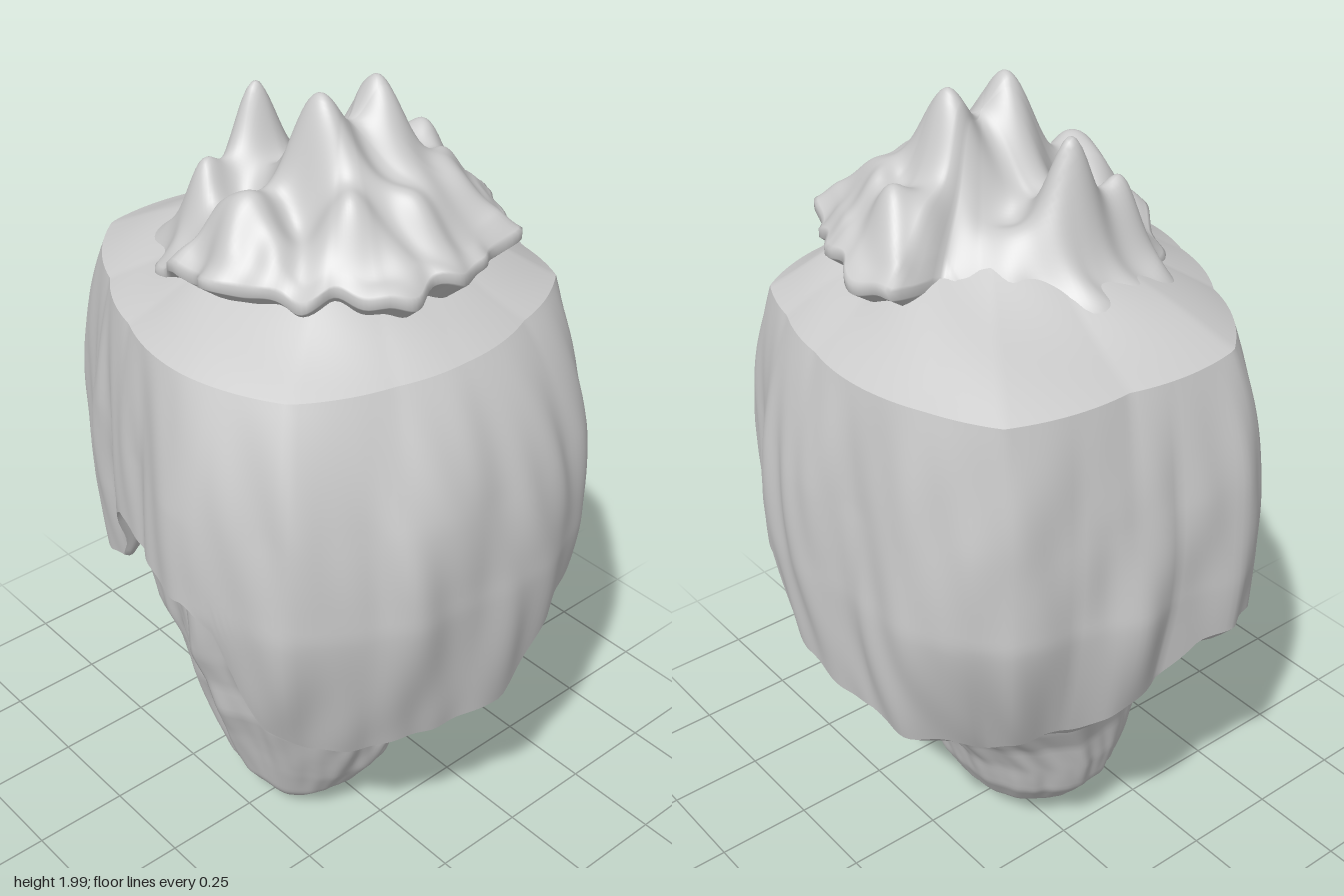
import * as THREE from 'three';

const RIM_Y = 1.52;
const RAD = Math.PI / 180;

// Periodic interpolation through [degrees, value] pairs (0 = front, 90 = +x)
function around(pairs) {
  const p = pairs.slice().sort((a, b) => a[0] - b[0]);
  return (theta) => {
    const d = (theta / RAD + 720) % 360;
    let k = p.findIndex((q) => q[0] > d);
    if (k < 0) k = p.length;
    const a = k > 0 ? p[k - 1] : [p[p.length - 1][0] - 360, p[p.length - 1][1]];
    const b = k < p.length ? p[k] : [p[0][0] + 360, p[0][1]];
    return a[1] + (b[1] - a[1]) * (d - a[0]) / (b[0] - a[0]);
  };
}

// Plan outline of [x, z] points turned into radius by angle
const outline = (pts, cx = 0) => around(pts.map(([x, z]) =>
  [(Math.atan2(x - cx, z) / RAD + 360) % 360, Math.hypot(x - cx, z)]));

// Values by height, rows start with the height
function byHeight(rows, y) {
  let k = rows.findIndex((r) => r[0] >= y);
  if (k < 0) k = rows.length - 1;
  if (k === 0) return rows[0];
  const a = rows[k - 1], b = rows[k];
  const t = Math.min(1, (y - a[0]) / (b[0] - a[0]));
  return a.map((v, i) => v + (b[i] - v) * t);
}

// Closed ring surface: v runs so that the outside faces out
function loft(name, cols, rows, fn) {
  const pos = [], idx = [];
  for (let j = 0; j <= rows; j++) {
    for (let i = 0; i < cols; i++) pos.push(...fn(i / cols * Math.PI * 2, j / rows));
  }
  for (let j = 0; j < rows; j++) {
    for (let i = 0; i < cols; i++) {
      const n = (i + 1) % cols, a = j * cols + i, b = j * cols + n;
      idx.push(a, b, a + cols, b, b + cols, a + cols);
    }
  }
  const g = new THREE.BufferGeometry();
  g.setAttribute('position', new THREE.Float32BufferAttribute(pos, 3));
  g.setIndex(idx);
  g.computeVertexNormals();
  const mesh = new THREE.Mesh(g, new THREE.MeshStandardMaterial({ color: 0xcccccc, side: THREE.DoubleSide }));
  mesh.name = name;
  return mesh;
}

// Mostly vertical, wandering ridges of weathered stone
const ridges = (t, y) => 0.5 * Math.sin(7 * t + 1.5 * Math.sin(3 * y)) + 0.4 * Math.sin(13 * t + 1.3 - 3 * y)
  + 0.35 * Math.sin(19 * t + 3 * Math.sin(4 * y + t)) * Math.sin(5 * y + 2 * t)
  + 0.25 * Math.sin(31 * t + 5 * y) * Math.sin(7 * y + 3 * t);
const bell = (d, w) => Math.exp(-d * d / (2 * w * w));
const polar = (r, t, y) => [r * Math.sin(t), y, r * Math.cos(t)];

const rim = outline([[0.15, 0.5], [0.38, 0.41], [0.47, 0.2], [0.495, 0.02], [0.45, -0.2], [0.35, -0.41],
  [0.2, -0.46], [0.02, -0.505], [-0.33, -0.47], [-0.48, -0.39], [-0.53, -0.1], [-0.535, 0.2], [-0.3, 0.37], [-0.1, 0.46]]);
const belly = outline([[0, 0.53], [0.25, 0.575], [0.45, 0.48], [0.55, 0.31], [0.63, 0.05], [0.61, -0.2],
  [0.51, -0.38], [0.3, -0.5], [0.08, -0.575], [-0.15, -0.555], [-0.4, -0.49], [-0.52, -0.39], [-0.56, -0.25],
  [-0.6, -0.15], [-0.595, 0], [-0.635, 0.18], [-0.59, 0.28], [-0.4, 0.38], [-0.25, 0.44]]);

// Ragged lower edge of the outer shell, with an arch in front and one behind
const hem = around([[0, 1.0], [20, 1.0], [27, 0.93], [31, 0.76], [36, 0.64], [46, 0.56], [60, 0.56], [80, 0.58],
  [97, 0.6], [106, 0.76], [112, 0.82], [128, 0.86], [139, 0.9], [159, 0.91], [163, 0.78], [172, 0.7],
  [190, 0.64], [225, 0.57], [250, 0.64], [268, 0.72], [278, 0.82], [290, 0.84], [305, 0.79], [320, 0.74],
  [327, 0.77], [333, 0.88], [338, 0.97], [345, 1.01]]);
const hemY = (t) => hem(t) + 0.007 * Math.sin(17 * t);

// Share by which the shell draws in towards its lowest edge
const taper = around([[0, 0.18], [45, 0.18], [70, 0.13], [95, 0.1], [185, 0.08], [205, 0.13], [225, 0.24],
  [255, 0.18], [285, 0.06], [320, 0.08]]);

function shellRadius(t, y) {
  const up = Math.max(0, (y - 1.05) / (RIM_Y - 1.05)), down = Math.max(0, (0.98 - y) / 0.42);
  const r = rim(t) + (belly(t) - rim(t)) * (1 - Math.pow(up, 2.2));
  const fade = Math.min(1, (RIM_Y - y) / 0.3);
  return r * (1 - taper(t) * Math.pow(down, 1.4)) + 0.014 * fade * ridges(t, y);
}

// Core sections: height, centre x, centre z, half width, half depth
const CORE = [[0.05, -0.02, 0.07, 0, 0], [0.065, -0.02, 0.06, 0.15, 0.14], [0.11, -0.02, 0.05, 0.21, 0.18],
  [0.2, -0.025, 0.04, 0.275, 0.22], [0.3, -0.02, 0.04, 0.31, 0.25], [0.4, -0.01, 0.025, 0.335, 0.3],
  [0.5, -0.02, -0.01, 0.36, 0.355], [0.6, -0.025, -0.01, 0.395, 0.39], [0.8, -0.01, 0, 0.43, 0.41], [1.2, 0, 0, 0.46, 0.43]];
const FEET = [[0.1, 0.19, 0.03], [-0.14, 0.16, 0.03], [-0.015, 0.03, 0.05]];
function corePoint(t, y) {
  const [, cx, cz, rx, rz] = byHeight(CORE, y);
  const d = t / RAD, grow = Math.min(1, y / 0.25);
  const cuts = -0.1 * bell(d - 141, 4) - 0.05 * bell(d - 344, 5) - 0.05 * bell(d - 14, 5)
    + 0.04 * bell(d - 2, 7) + 0.03 * bell(d - 329, 6) + 0.03 * bell(d - 128, 5) + 0.03 * bell(d - 156, 6)
    + 0.04 * bell(d - 45, 18) + 0.04 * bell(d - 225, 18) - 0.05 * bell(d - 135, 22);
  const s = 1 + grow * (cuts + 0.03 * ridges(t, y * 1.5));
  const x = cx + rx * s * Math.sin(t), z = cz + rz * s * Math.cos(t);
  // Blunt points at the foot
  let drop = 0;
  for (const [fx, fz, h] of FEET) drop += h * bell(x - fx, 0.055) * bell(z - fz, 0.055);
  return [x, y - drop * Math.max(0, 1 - (y - 0.05) / 0.2), z];
}

// How far the broken underside dips towards the core
const dip = around([[0, 0.05], [30, 0.04], [60, 0.02], [90, 0.03], [110, 0.05], [160, 0.03], [185, -0.1],
  [225, -0.08], [265, -0.15], [285, -0.2], [305, -0.1], [325, 0.03]]);

// Crown outline around its own centre; the -x side runs down into the plateau
const CX = 0.08;
const crownEdge = outline([[-0.1, -0.38], [0.05, -0.42], [0.15, -0.36], [0.27, -0.33], [0.36, -0.25], [0.4, -0.1],
  [0.42, 0.03], [0.39, 0.16], [0.3, 0.23], [0.2, 0.33], [-0.02, 0.38], [-0.12, 0.34], [-0.3, 0.26],
  [-0.42, 0.04], [-0.34, -0.12], [-0.2, -0.24], [-0.1, -0.27]], CX);
const crownLip = around([[0, 1.665], [90, 1.67], [180, 1.675], [212, 1.66], [230, 1.6], [270, 1.555], [310, 1.565], [328, 1.59], [340, 1.65]]);

// Peaks: x, z, height, width in x, width in z
const PEAKS = [[0.08, 0.07, 0.15, 0.07, 0.045], [0.08, -0.1, 0.15, 0.07, 0.045], [-0.19, 0.03, 0.19, 0.038, 0.055],
  [0.05, 0.26, 0.09, 0.05, 0.045], [0.03, -0.28, 0.08, 0.05, 0.045], [-0.17, 0.2, 0.12, 0.04, 0.04],
  [0.24, 0.13, 0.05, 0.04, 0.04], [0.25, -0.2, 0.05, 0.05, 0.04], [0.15, -0.25, 0.04, 0.03, 0.04],
  [0.29, -0.04, 0.04, 0.04, 0.04], [-0.04, 0.14, -0.05, 0.05, 0.05], [-0.07, -0.05, -0.04, 0.05, 0.07], [0.14, 0.18, -0.05, 0.05, 0.04]];

function crownPoint(t, v) {
  const lip = 0.15, s = Math.min(1, v / lip);
  const k = v < lip ? 1 : 1 - (v - lip) / (1 - lip);
  const frill = 1 + k * k * k * (0.035 * Math.sin(11 * t + 1) + 0.025 * Math.sin(19 * t + 2));
  const edge = crownEdge(t) * frill;
  const lipY = crownLip(t) + Math.pow(k, 4) * (0.008 * Math.sin(9 * t) + 0.008 * Math.sin(16 * t + 2));
  // Underside of the lip, then the slopes above it
  if (v < lip) return [CX + edge * (0.8 + 0.2 * s) * Math.sin(t), lipY - 0.015 - 0.06 * (1 - s), edge * (0.8 + 0.2 * s) * Math.cos(t)];
  const x = CX + edge * k * 0.995 * Math.sin(t), z = edge * k * 0.995 * Math.cos(t);
  const inner = Math.min(1, (1 - k) * 8);
  let y = lipY + (1.87 - lipY) * (1 - Math.pow(k, 1.4));
  for (const [px, pz, h, wx, wz] of PEAKS) y += h * bell(x - px, wx) * bell(z - pz, wz) * inner;
  y += 0.014 * inner * Math.min(1, k * 2) * Math.sin(31 * x + 4 * Math.sin(9 * z)) * Math.sin(27 * z + 1);
  return [x, Math.min(y, 2), z];
}

export function createModel() {
  const model = new THREE.Group();
  model.name = 'floatingRock';

  // Outer stone shell
  model.add(loft('outerShell', 240, 44, (t, v) => {
    const y = hemY(t) + (RIM_Y - hemY(t)) * v;
    return polar(shellRadius(t, y), t, y);
  }));

  // Broken underside of the shell, reaching in to the core
  model.add(loft('shellUnderside', 240, 10, (t, v) => {
    const y = hemY(t), inY = y + dip(t), p = corePoint(t, inY);
    const inner = Math.hypot(p[0], p[2]) * 0.95, outer = shellRadius(t, y);
    const bulge = 0.02 * Math.sin(Math.PI * v) * Math.sin(9 * t + 4 * v);
    return polar(inner + (outer - inner) * v, t, y + dip(t) * (1 - v) + bulge);
  }));

  // Tapering core below
  model.add(loft('core', 200, 60, (t, v) => corePoint(t, 0.05 + 1.15 * Math.pow(v, 1.5))));

  // Sloping plateau
  model.add(loft('plateau', 240, 24, (t, v) => {
    const [x, , z] = polar(rim(t), t, 0);
    const y = RIM_Y + 0.28 * v + 0.008 * Math.sin(5 * t + 8 * v) * v * (1 - v) * 4;
    return [x + (CX - x) * v, y, z * (1 - v)];
  }));

  // Peaked crown
  model.add(loft('crown', 200, 64, crownPoint));
  return model;
}
